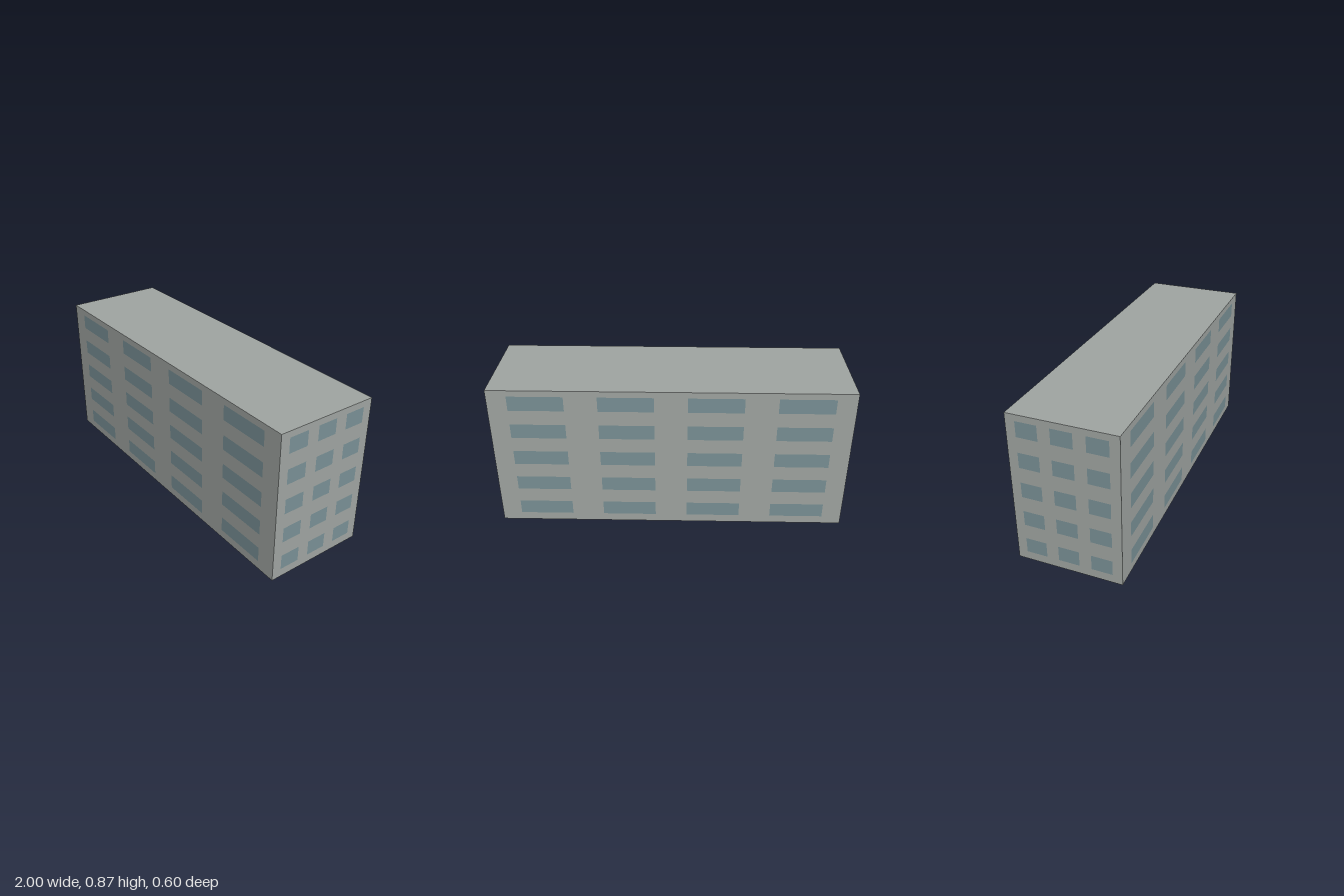
import * as THREE from 'three';

const LENGTH = 1.9965, DEPTH = 0.588, HEIGHT = 0.866;

const wallMaterial = new THREE.MeshStandardMaterial({ color: 0x9fa4a1, side: THREE.DoubleSide });
wallMaterial.name = 'concrete grey';
const windowMaterial = new THREE.MeshStandardMaterial({ color: 0x799095 });
windowMaterial.name = 'window blue';

// One wall with its grid of flat windows, facing +z before it is turned
function facade(name, width, distance, columns, columnStep, windowWidth, turn) {
  const group = new THREE.Group();
  group.name = name;
  const wall = new THREE.Mesh(new THREE.PlaneGeometry(width, HEIGHT), wallMaterial);
  wall.name = name + 'Wall';
  wall.position.set(0, HEIGHT / 2, distance);
  group.add(wall);

  const pane = new THREE.PlaneGeometry(windowWidth, 0.087);
  for (let row = 0; row < 5; row++) {
    for (let col = 0; col < columns; col++) {
      const mesh = new THREE.Mesh(pane, windowMaterial);
      mesh.name = name + 'Window';
      mesh.position.set((col - (columns - 1) / 2) * columnStep, 0.0935 + row * 0.1735, distance + 0.0015);
      group.add(mesh);
    }
  }
  group.rotation.y = turn;
  return group;
}

export function createModel() {
  const building = new THREE.Group();
  building.name = 'building';

  // Long sides and short ends
  building.add(
    facade('front', LENGTH, DEPTH / 2, 4, 0.489, 0.307, 0),
    facade('back', LENGTH, DEPTH / 2, 4, 0.489, 0.307, Math.PI),
    facade('leftEnd', DEPTH, LENGTH / 2, 3, 0.183, 0.116, Math.PI / 2),
    facade('rightEnd', DEPTH, LENGTH / 2, 3, 0.183, 0.116, -Math.PI / 2)
  );

  // Flat roof; the underside stays open
  const roof = new THREE.Mesh(new THREE.PlaneGeometry(LENGTH, DEPTH), wallMaterial);
  roof.name = 'roof';
  roof.rotation.x = -Math.PI / 2;
  roof.position.y = HEIGHT;
  building.add(roof);

  // The block sits very slightly turned on its plot
  building.rotation.y = -0.006;

  const model = new THREE.Group();
  model.name = 'apartmentBlock';
  model.add(building);
  return model;
}
